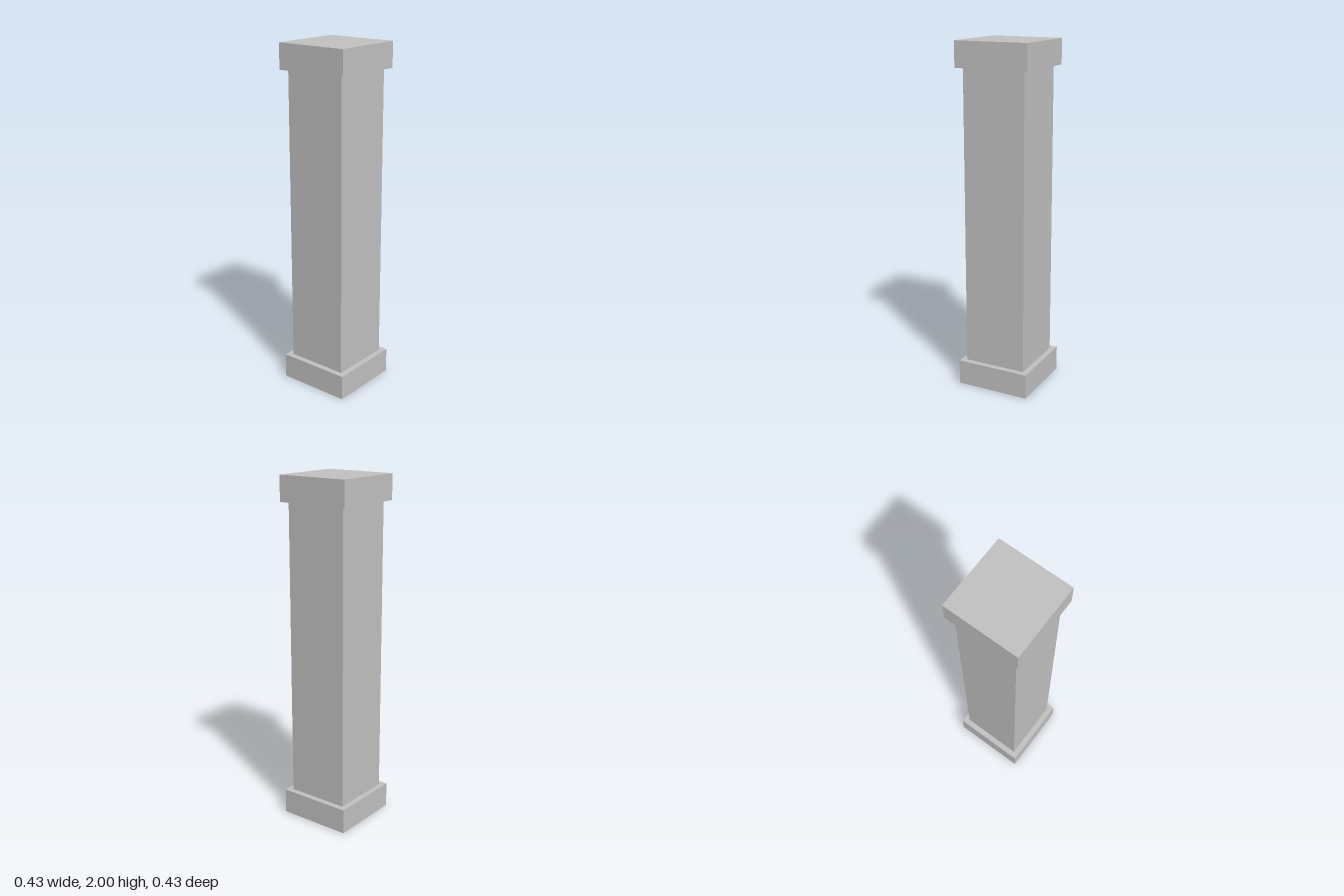
import * as THREE from 'three';

export function createModel() {
  const model = new THREE.Group();
  model.name = 'pillar';

  const stone = new THREE.MeshStandardMaterial({ color: 0xc0c0c0 });
  stone.name = 'grey stone';

  const HEIGHT = 2, BLOCK_HEIGHT = 0.145, BLOCK_WIDTH = 0.434, SHAFT_WIDTH = 0.368;

  // Square block standing on the given height
  function addBlock(name, width, height, bottom) {
    const mesh = new THREE.Mesh(new THREE.BoxGeometry(width, height, width), stone);
    mesh.name = name;
    mesh.position.y = bottom + height / 2;
    model.add(mesh);
  }

  addBlock('base', BLOCK_WIDTH, BLOCK_HEIGHT, 0);
  addBlock('shaft', SHAFT_WIDTH, HEIGHT - 2 * BLOCK_HEIGHT, BLOCK_HEIGHT);
  addBlock('capital', BLOCK_WIDTH, BLOCK_HEIGHT, HEIGHT - BLOCK_HEIGHT);

  return model;
}
